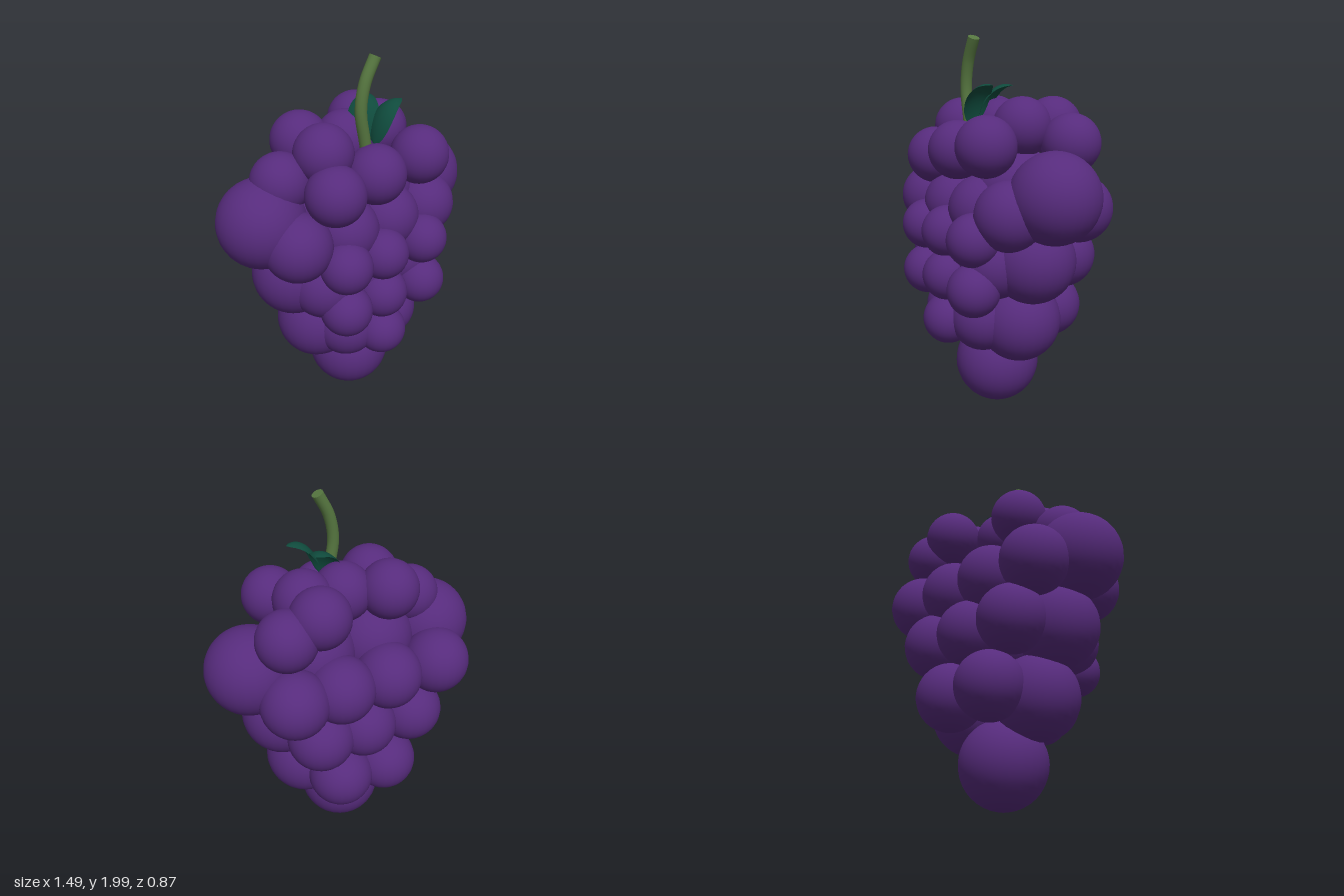
import * as THREE from 'three';

const skin = new THREE.MeshStandardMaterial({ color: 0x562b7c });
const bark = new THREE.MeshStandardMaterial({ color: 0x55753f });
const green = new THREE.MeshStandardMaterial({ color: 0x0f4a3c, side: THREE.DoubleSide });

// A named group of equal berries at the given centres
function berries(name, r, centres) {
  const group = new THREE.Group();
  group.name = name;
  const geo = new THREE.SphereGeometry(r, 28, 20);
  for (const [x, y, z] of centres) {
    const berry = new THREE.Mesh(geo, skin);
    berry.name = 'berry';
    berry.position.set(x, y, z);
    group.add(berry);
  }
  return group;
}

// A row of berries sharing one height and depth
const row = (xs, y, z) => xs.map((x) => [x, y, z]);

// Cupped leaf that rises from its foot and bends outward to a point
function leaf(name, x, z, angle, length, half) {
  const rib = new THREE.CubicBezierCurve3(
    new THREE.Vector3(0, 1.55, 0), new THREE.Vector3(0.01, 1.68, 0),
    new THREE.Vector3(length * 0.45, 1.78, 0), new THREE.Vector3(length, 1.745, 0));
  const geo = new THREE.PlaneGeometry(1, 1, 8, 14);
  const pos = geo.attributes.position;
  for (let i = 0; i < pos.count; i++) {
    const across = pos.getX(i) * 2, t = pos.getY(i) + 0.5;
    const p = rib.getPoint(t);
    const w = half * Math.pow(Math.sin(Math.PI * Math.pow(t, 0.8)), 0.7) || 0;
    const cup = 0.35 * w * across * across;
    pos.setXYZ(i, p.x + cup * 0.4, p.y - cup, across * w);
  }
  geo.computeVertexNormals();
  const mesh = new THREE.Mesh(geo, green);
  mesh.name = name;
  mesh.position.set(x, 0, z);
  mesh.rotation.y = angle;
  return mesh;
}

export function createModel() {
  const model = new THREE.Group();
  model.name = 'grapeBunch';

  // Large berries forming the core, widening upward
  model.add(berries('tipBerry', 0.23, [[0.01, 0.23, 0]]));
  model.add(berries('coreBerries', 0.22, [
    ...row([-0.215, 0.23], 0.53, 0),
    ...row([-0.355, 0, 0.35], 0.875, 0),
  ]));
  model.add(berries('shoulderBerries', 0.228, row([-0.52, -0.17, 0.17, 0.515], 1.215, -0.01)));

  // Staggered rows on the front and back
  const rows = [
    [[-0.43, -0.14, 0.13, 0.385], 1.125],
    [[-0.28, 0, 0.25], 0.855],
    [[-0.135, 0.135], 0.545],
  ];
  for (const [name, z] of [['frontRows', 0.165], ['backRows', -0.26]]) {
    model.add(berries(name, 0.176, rows.flatMap(([xs, y]) => row(xs, y, z))));
  }

  // Small berries standing out at the front
  model.add(berries('smallFrontBerries', 0.136, [
    ...row([-0.235, 0, 0.27], 1.0, 0.3),
    [-0.235, 0.745, 0.3], [0, 0.765, 0.3], [0.27, 0.745, 0.3],
    [0, 0.525, 0.3],
  ]));

  // Crown of berries around the stem
  model.add(berries('crownBerries', 0.152, [
    [-0.25, 1.375, 0.235], [0, 1.42, 0.235], [0.285, 1.455, 0.235],
    [-0.21, 1.54, -0.12], [-0.21, 1.53, 0.085], [-0.41, 1.405, 0],
    [0, 1.53, -0.02], [0.215, 1.54, -0.02], [0.215, 1.54, -0.21],
    [0.385, 1.46, -0.2],
  ]));

  // Curved stem with a flat cut end
  const path = new THREE.CatmullRomCurve3(
    [[0.01, 1.46], [-0.015, 1.58], [-0.04, 1.73], [-0.018, 1.86], [0.042, 1.98]]
      .map(([x, y]) => new THREE.Vector3(x, y, 0.158)));
  const stem = new THREE.Mesh(new THREE.TubeGeometry(path, 24, 0.03, 16), bark);
  stem.name = 'stem';
  const cut = new THREE.Mesh(new THREE.CircleGeometry(0.03, 16), bark);
  cut.name = 'stemCut';
  cut.position.copy(path.getPoint(1));
  cut.quaternion.setFromUnitVectors(new THREE.Vector3(0, 0, 1), path.getTangent(1));
  model.add(stem, cut);

  // Pair of leaves beside the stem
  model.add(leaf('frontLeaf', 0.035, 0.168, 0.03, 0.18, 0.07));
  model.add(leaf('backLeaf', 0.005, 0.105, 0.72, 0.18, 0.08));

  return model;
}
